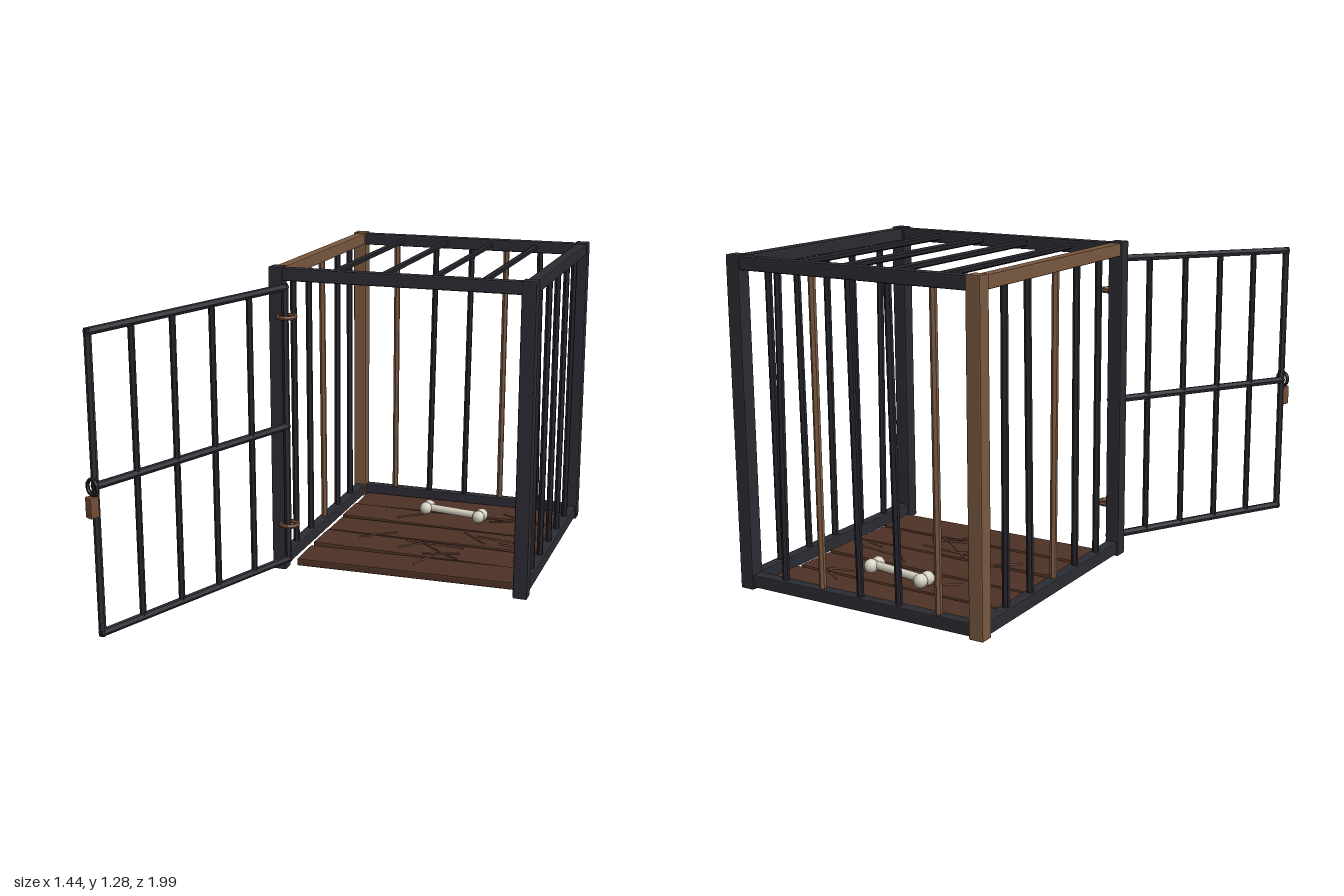
import * as THREE from 'three';
import { RoundedBoxGeometry } from 'three/addons/geometries/RoundedBoxGeometry.js';

const mat = (name, color, flatShading = true) =>
  Object.assign(new THREE.MeshStandardMaterial({ color, flatShading }), { name });

export function createModel() {
  const iron = mat('dark iron', 0x2b2b33);
  const barIron = mat('bar iron', 0x23232b);
  const rust = mat('rusty iron', 0x79583f);
  const copper = mat('rusty fittings', 0x744c34);
  const wood = mat('floor wood', 0x4e3225);
  const straw = mat('straw', 0x7a5643);
  const ivory = mat('bone', 0xd6d2c2, false);

  const root = new THREE.Group();
  root.name = 'openCage';
  const group = (name) => {
    const g = new THREE.Group();
    g.name = name;
    root.add(g);
    return g;
  };
  const add = (parent, name, geometry, material, x = 0, y = 0, z = 0) => {
    const m = new THREE.Mesh(geometry, material);
    m.name = name;
    m.position.set(x, y, z);
    parent.add(m);
    return m;
  };
  const box = (parent, name, material, w, h, d, x, y, z, r = 0.005) =>
    add(parent, name, new RoundedBoxGeometry(w, h, d, 1, r), material, x, y, z);
  // Round rod between two points
  const rod = (parent, name, material, a, b, r, sides = 6) => {
    const p = new THREE.Vector3(...a), q = new THREE.Vector3(...b);
    const m = add(parent, name, new THREE.CylinderGeometry(r, r, p.distanceTo(q), sides), material);
    m.position.copy(p).add(q).multiplyScalar(0.5);
    m.quaternion.setFromUnitVectors(new THREE.Vector3(0, 1, 0), q.sub(p).normalize());
    return m;
  };

  const L = 0.687, R = -0.333, F = 0.055, B = -0.971;
  const midX = (L + R) / 2, midZ = (F + B) / 2, topY = 1.25, lowY = 0.046;

  // Corner posts, with one rusty corner
  const frame = group('frame');
  for (const x of [L, R]) for (const z of [F, B])
    box(frame, 'cornerPost', x === R && z === B ? rust : iron, 0.058, 1.268, 0.058, x, 0.646, z);

  // Rails; the doorway has no sill
  for (const y of [topY, lowY]) {
    box(frame, 'backRail', iron, L - R, 0.05, 0.046, midX, y, B);
    for (const x of [L, R])
      box(frame, 'sideRail', x === R && y === topY ? rust : iron, 0.046, 0.05, F - B, x, y, midZ);
  }
  box(frame, 'frontRail', iron, L - R, 0.05, 0.046, midX, topY, F);

  // Slightly crooked upright bars: [top, bottom, rusty]
  const bars = group('bars');
  [[-0.16, -0.163, true], [0.026, 0.006], [0.192, 0.176], [0.35, 0.347, true], [0.502, 0.52]]
    .forEach(([t, b, rusty]) =>
      rod(bars, 'backBar', rusty ? rust : barIron, [b, lowY, B], [t, topY, B], 0.0135));
  [[-0.104, -0.122], [-0.292, -0.283], [-0.457, -0.457], [-0.64, -0.625], [-0.805, -0.8]]
    .forEach(([t, b]) => rod(bars, 'leftBar', barIron, [L, lowY, b], [L, topY, t], 0.0135));
  [[-0.11, -0.114], [-0.286, -0.288], [-0.444, -0.457, true], [-0.645, -0.628], [-0.8, -0.8]]
    .forEach(([t, b, rusty]) =>
      rod(bars, 'rightBar', rusty ? rust : barIron, [R, lowY, b], [R, topY, t], 0.0135));
  for (let i = 1; i <= 4; i++) {
    const x = R + (L - R) * i / 5;
    rod(bars, 'roofBar', barIron, [x, topY, B], [x, topY, F], 0.0135);
  }

  // Floor planks: [centre x, centre z, turn, roll]
  const floor = group('floor');
  [[0.177, -0.846, 0.004, 0.004], [0.175, -0.658, -0.015, -0.004], [0.178, -0.468, -0.008, 0.004],
    [0.178, -0.279, -0.01, -0.005], [0.178, -0.088, 0.016, 0.005]]
    .forEach(([x, z, turn, roll]) => {
      const p = box(floor, 'plank', wood, 0.93, 0.032, 0.176, x, 0.023, z, 0.006);
      p.rotation.set(0, turn, roll);
    });

  // Scattered straw on the planks: x1, z1, x2, z2
  const litter = group('straw');
  [[-0.04, -0.62, 0.07, -0.7], [0.41, -0.81, 0.47, -0.77], [0.37, -0.69, 0.53, -0.74],
    [0.46, -0.76, 0.56, -0.7], [-0.12, -0.32, 0.02, -0.42], [0.09, -0.34, 0.35, -0.32],
    [0.13, -0.36, 0.27, -0.24], [0.08, -0.25, 0.17, -0.33], [0.3, -0.52, 0.42, -0.4],
    [0.37, -0.48, 0.56, -0.45], [0.48, -0.42, 0.56, -0.4], [0.2, -0.08, 0.25, -0.2],
    [0.2, -0.21, 0.35, -0.25], [0.27, -0.24, 0.36, -0.18]]
    .forEach(([x1, z1, x2, z2]) =>
      rod(litter, 'strawStalk', straw, [x1, 0.043, z1], [x2, 0.045, z2], 0.004, 4));

  // Bone: shaft with a pair of knobs at each end
  const bone = group('bone');
  bone.position.set(0.202, 0.072, -0.695);
  bone.rotation.y = -0.16;
  rod(bone, 'boneShaft', ivory, [-0.13, 0, 0], [0.13, 0, 0], 0.0165, 10);
  for (const x of [-0.13, 0.13]) for (const z of [-0.019, 0.019])
    add(bone, 'boneKnob', new THREE.SphereGeometry(0.028, 10, 8), ivory, x, 0, z);

  // Sagging open door; t runs from hinge to latch
  const door = group('door');
  const at = (t, y) => [-0.287 - 0.4 * t, y - 0.036 * t, 0.095 + 0.85 * t];
  for (const [name, y] of [['doorTopRail', 1.204], ['doorMiddleRail', 0.637], ['doorBottomRail', 0.069]])
    rod(door, name, iron, at(-0.01, y), at(1.01, y), 0.015);
  for (let i = 0; i <= 5; i++) {
    const edge = i === 0 || i === 5;
    rod(door, edge ? 'doorEdge' : 'doorBar', edge ? iron : barIron,
      at(i / 5, edge ? 0.057 : 0.069), at(i / 5, edge ? 1.216 : 1.204), edge ? 0.014 : 0.0125);
  }

  // Hinge rings
  for (const y of [1.083, 0.215])
    add(door, 'hingeRing', new THREE.TorusGeometry(0.035, 0.0095, 6, 14), copper, -0.287, y, 0.081)
      .rotation.x = Math.PI / 2;

  // Padlock hanging from the latch edge
  const lock = group('padlock');
  lock.position.set(-0.686, 0.603, 0.966);
  lock.rotation.y = -0.44;
  add(lock, 'lockRing', new THREE.TorusGeometry(0.03, 0.0075, 6, 14), barIron);
  box(lock, 'lockBody', copper, 0.036, 0.08, 0.038, 0, -0.073, 0.005, 0.005);

  return root;
}
